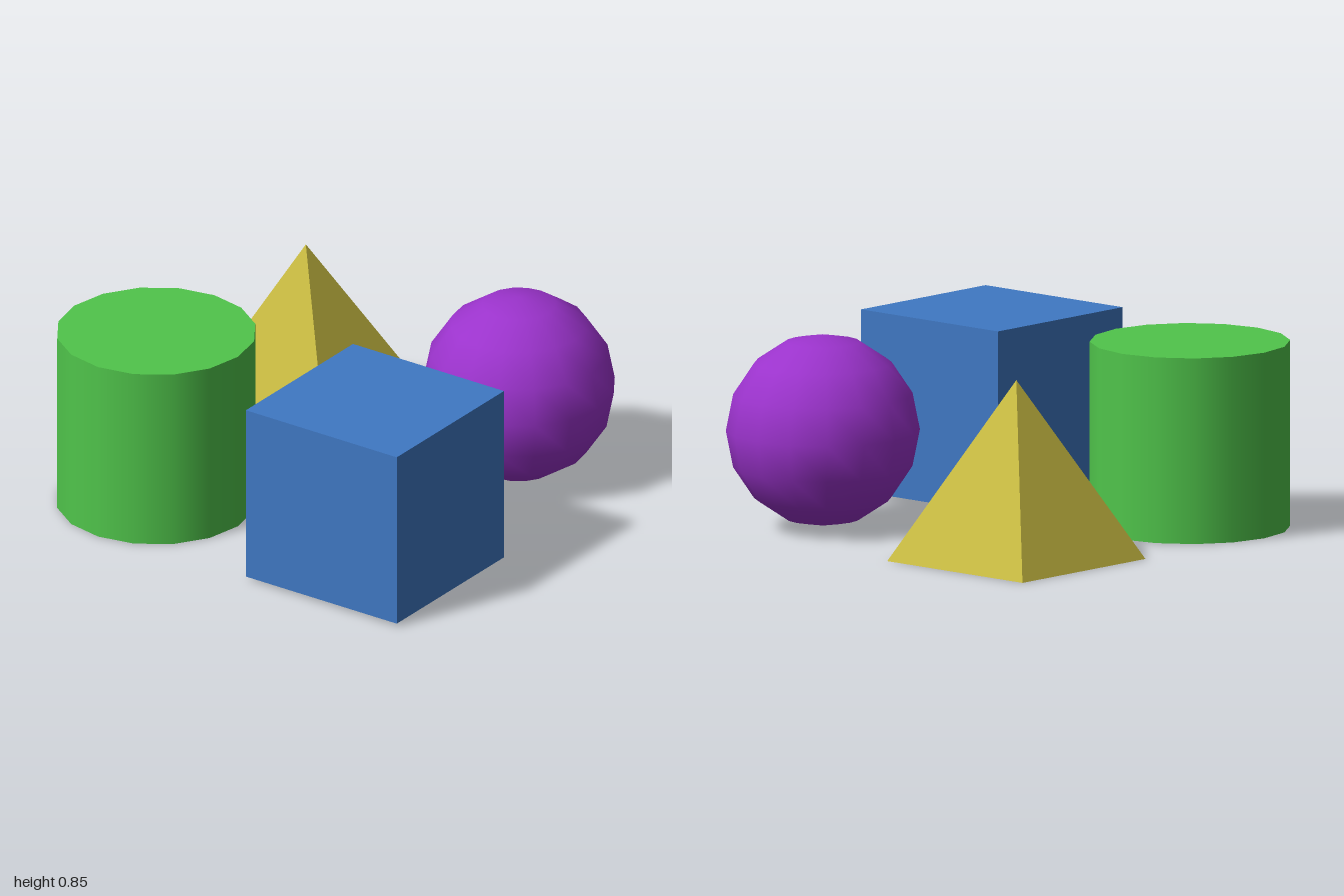
import * as THREE from 'three';

const material = (name, color) => {
  const m = new THREE.MeshStandardMaterial({ color });
  m.name = name;
  return m;
};

export function createModel() {
  const group = new THREE.Group();
  group.name = 'basicSolids';

  const add = (name, geometry, mat, x, y, z) => {
    const mesh = new THREE.Mesh(geometry, mat);
    mesh.name = name;
    mesh.position.set(x, y, z);
    group.add(mesh);
  };

  // Cube, front left, floating slightly above the ground
  add('cube', new THREE.BoxGeometry(0.8, 0.8, 0.8), material('blue', 0x3f78c3), 0.6, 0.415, 0.56);

  // Sixteen-sided cylinder, front right, smooth around its side
  add('cylinder', new THREE.CylinderGeometry(0.434, 0.434, 0.815, 16), material('green', 0x50c54b), -0.566, 0.4075, 0.55);

  // Sphere, back left, smooth but coarse
  add('sphere', new THREE.SphereGeometry(0.42, 16, 8), material('purple', 0x9b33cc), 0.565, 0.435, -0.564);

  // Square pyramid, back right; a four-sided cone turned so its base lines up with the axes
  const side = 0.79;
  const pyramid = new THREE.ConeGeometry(side / Math.SQRT2, 0.79, 4).rotateY(Math.PI / 4).toNonIndexed();
  pyramid.computeVertexNormals(); // flat faces
  add('pyramid', pyramid, material('yellow', 0xc8bb42), -0.563, 0.395, -0.562);

  return group;
}
